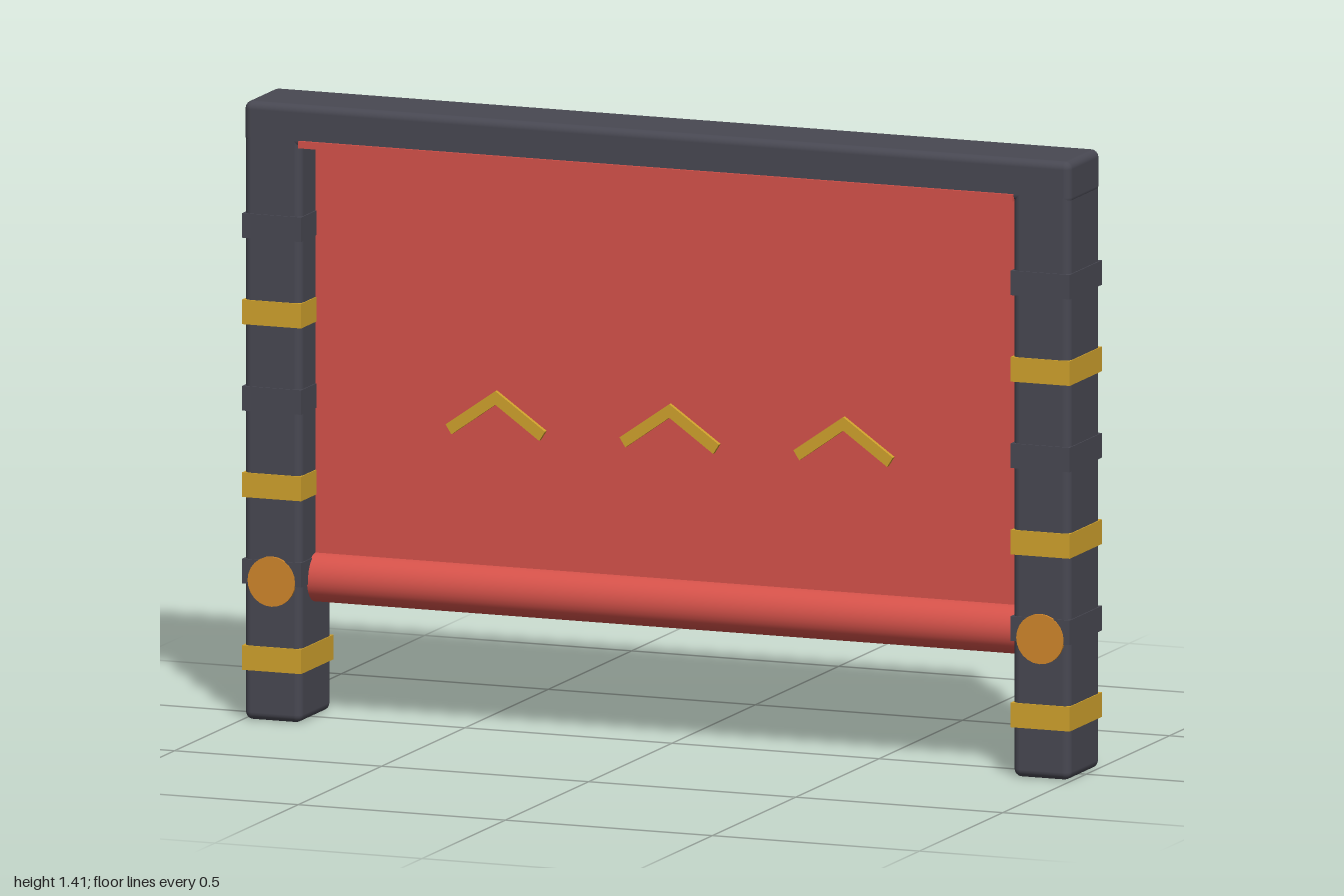
import * as THREE from 'three';
import { RoundedBoxGeometry } from 'three/addons/geometries/RoundedBoxGeometry.js';

const paint = (name, color) => {
  const m = new THREE.MeshStandardMaterial({ color });
  m.name = name;
  return m;
};

export function createModel() {
  const frame = paint('charcoal', 0x484852);
  const red = paint('red', 0xd5524a);
  const gold = paint('gold', 0xd0a22d);
  const orange = paint('orange', 0xd0862b);

  const model = new THREE.Group();
  model.name = 'rollerBanner';
  const add = (parent, name, geometry, material, x = 0, y = 0, z = 0) => {
    const mesh = new THREE.Mesh(geometry, material);
    mesh.name = name;
    mesh.position.set(x, y, z);
    parent.add(mesh);
    return mesh;
  };

  // Posts with alternating bands and round end caps on both faces
  const postX = 0.928;
  for (const side of [-1, 1]) {
    const post = new THREE.Group();
    post.name = side < 0 ? 'rightPost' : 'leftPost';
    post.position.x = side * postX;
    model.add(post);
    add(post, 'postBody', new RoundedBoxGeometry(0.138, 1.36, 0.187, 3, 0.018), frame, 0, 0.68);
    for (let i = 0; i < 6; i++) {
      const isGold = i % 2 === 0;
      add(post, isGold ? 'goldBand' : 'darkBand',
        new THREE.BoxGeometry(0.143, 0.056, 0.194), isGold ? gold : frame, 0, 0.142 + i * 0.197);
    }
    const cap = add(post, 'rollerCap', new THREE.CylinderGeometry(0.057, 0.057, 0.199, 24), orange, 0, 0.32);
    cap.rotation.x = Math.PI / 2;
  }

  // Top beam with a thin trim along its lower front edge
  add(model, 'topBeam', new RoundedBoxGeometry(1.996, 0.1, 0.187, 3, 0.018), frame, 0, 1.36);
  add(model, 'beamTrim', new THREE.BoxGeometry(1.725, 0.016, 0.012), red, 0, 1.321, 0.094);

  // Cloth and the roller along its bottom
  add(model, 'cloth', new THREE.BoxGeometry(1.72, 1.01, 0.012), red, 0, 0.825);
  const roller = add(model, 'roller', new THREE.CylinderGeometry(0.056, 0.056, 1.72, 32), red, 0, 0.32);
  roller.rotation.z = Math.PI / 2;

  // Chevrons on the front of the cloth
  const shape = new THREE.Shape([
    [-0.12, -0.038], [-0.106, -0.06], [0, 0.015], [0.106, -0.06], [0.12, -0.038], [0, 0.046],
  ].map(([x, y]) => new THREE.Vector2(x, y)));
  const chevron = new THREE.ExtrudeGeometry(shape, { depth: 0.012, bevelEnabled: false });
  for (const x of [-0.42, 0, 0.42]) add(model, 'chevron', chevron, gold, x, 0.73, 0.005);

  return model;
}
